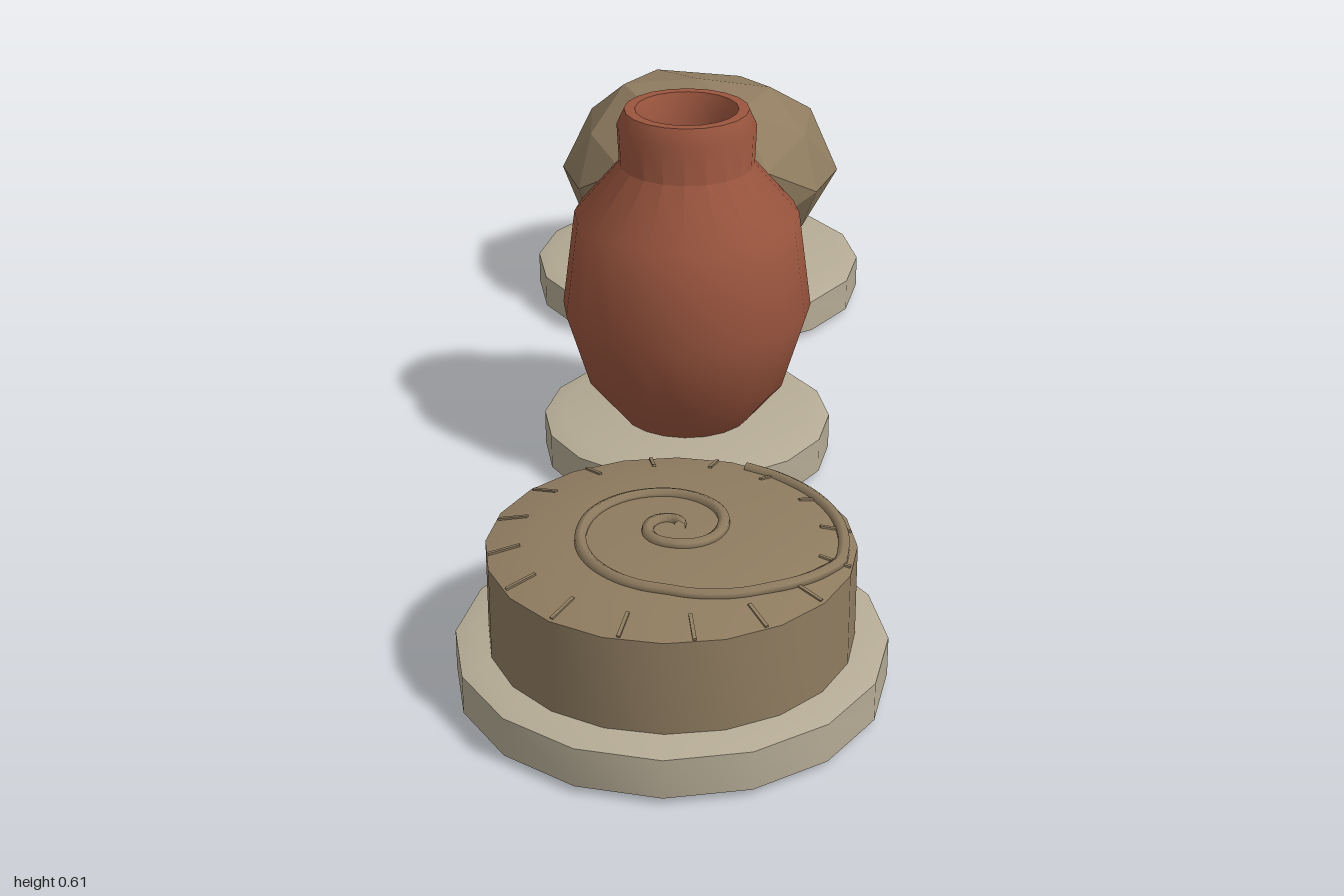
import * as THREE from 'three';
import { toCreasedNormals, mergeVertices } from 'three/addons/utils/BufferGeometryUtils.js';

const material = (name, color) => new THREE.MeshStandardMaterial({ name, color });

export function createModel() {
  const stone = material('pale plinth stone', 0xb5ab95);
  const rock = material('brown rock', 0x8f7c60);
  const clay = material('terracotta', 0x9a553e);
  const model = new THREE.Group();

  const add = (parent, name, geometry, mat) => {
    const mesh = new THREE.Mesh(geometry, mat);
    mesh.name = name;
    parent.add(mesh);
    return mesh;
  };
  const lathe = (profile, sides, crease = 0.6) =>
    toCreasedNormals(new THREE.LatheGeometry(profile.map(([r, y]) => new THREE.Vector2(r, y)), sides), crease);

  // Each exhibit stands on a low round plinth with bevelled edges
  const exhibit = (name, z, r) => {
    const group = new THREE.Group();
    group.name = name;
    group.position.z = z;
    model.add(group);
    add(group, 'plinth', lathe([
      [0, 0], [r - 0.03, 0], [r, 0.01], [r, 0.068], [r - 0.03, 0.076], [0, 0.076],
    ], 16), stone);
    return group;
  };

  // Spiral fossil: a drum with a shallow domed top
  const fossil = exhibit('fossilExhibit', 0.697, 0.303);
  const dome = [[0.256, 0.213], [0.2, 0.227], [0.12, 0.235], [0, 0.239]];
  add(fossil, 'fossilBody', lathe([[0, 0.07], [0.256, 0.07], ...dome], 20), rock);
  const domeHeight = (r) => {
    const i = Math.max(1, dome.findIndex(([dr]) => dr <= r));
    const [a, b] = [dome[i - 1], dome[i]];
    return THREE.MathUtils.mapLinear(r, a[0], b[0], a[1], b[1]);
  };

  // Coil: radius at each quarter turn, running inwards
  const radii = [0.24, 0.236, 0.156, 0.121, 0.1, 0.07, 0.045, 0.031, 0.022, 0.012];
  const coilPoints = [];
  const steps = 72;
  for (let i = 0; i <= steps; i++) {
    const t = (i / steps) * (radii.length - 1);
    const k = Math.min(Math.floor(t), radii.length - 2);
    const r = THREE.MathUtils.lerp(radii[k], radii[k + 1], t - k);
    const angle = (t - 0.72 - 0.28 * Math.min(1, Math.max(0, t - 0.5))) * Math.PI / 2;
    coilPoints.push(new THREE.Vector3(Math.cos(angle) * r, domeHeight(r) + 0.001, Math.sin(angle) * r));
  }
  add(fossil, 'spiralRidge', new THREE.TubeGeometry(new THREE.CatmullRomCurve3(coilPoints), 140, 0.009, 6), rock);

  // Fine radial ribs around the shoulder
  for (let i = 0; i < 16; i++) {
    const pivot = new THREE.Group();
    pivot.name = 'ribPivot';
    pivot.rotation.y = (i + 0.4) / 16 * Math.PI * 2;
    const rib = add(pivot, 'rib', new THREE.BoxGeometry(0.045, 0.006, 0.005), rock);
    rib.position.set(0.229, 0.219, 0);
    rib.rotation.z = -0.24;
    fossil.add(pivot);
  }

  // Clay jar with a hollow neck
  const pot = exhibit('jarExhibit', 0, 0.238);
  add(pot, 'jar', lathe([
    [0, 0.072], [0.105, 0.072], [0.165, 0.145], [0.203, 0.27], [0.182, 0.43], [0.109, 0.515],
    [0.112, 0.58], [0.1, 0.606], [0.083, 0.606], [0.07, 0.575], [0.07, 0.52], [0, 0.5],
  ], 20, 0.75), clay);

  // Rough faceted boulder
  const boulder = exhibit('boulderExhibit', -0.692, 0.31);
  const geo = new THREE.IcosahedronGeometry(1, 1);
  const pos = geo.attributes.position;
  const v = new THREE.Vector3();
  for (let i = 0; i < pos.count; i++) {
    v.fromBufferAttribute(pos, i);
    const wobble = 1 + 0.04 * Math.sin(v.x * 7 + v.y * 5 + v.z * 3 + 1);
    v.multiplyScalar(wobble);
    pos.setXYZ(i, v.x * 0.257, Math.min(v.y * 0.189, 0.18), v.z * 0.227);
  }
  geo.computeVertexNormals();
  add(boulder, 'boulder', geo, rock).position.y = 0.25;

  return model;
}
